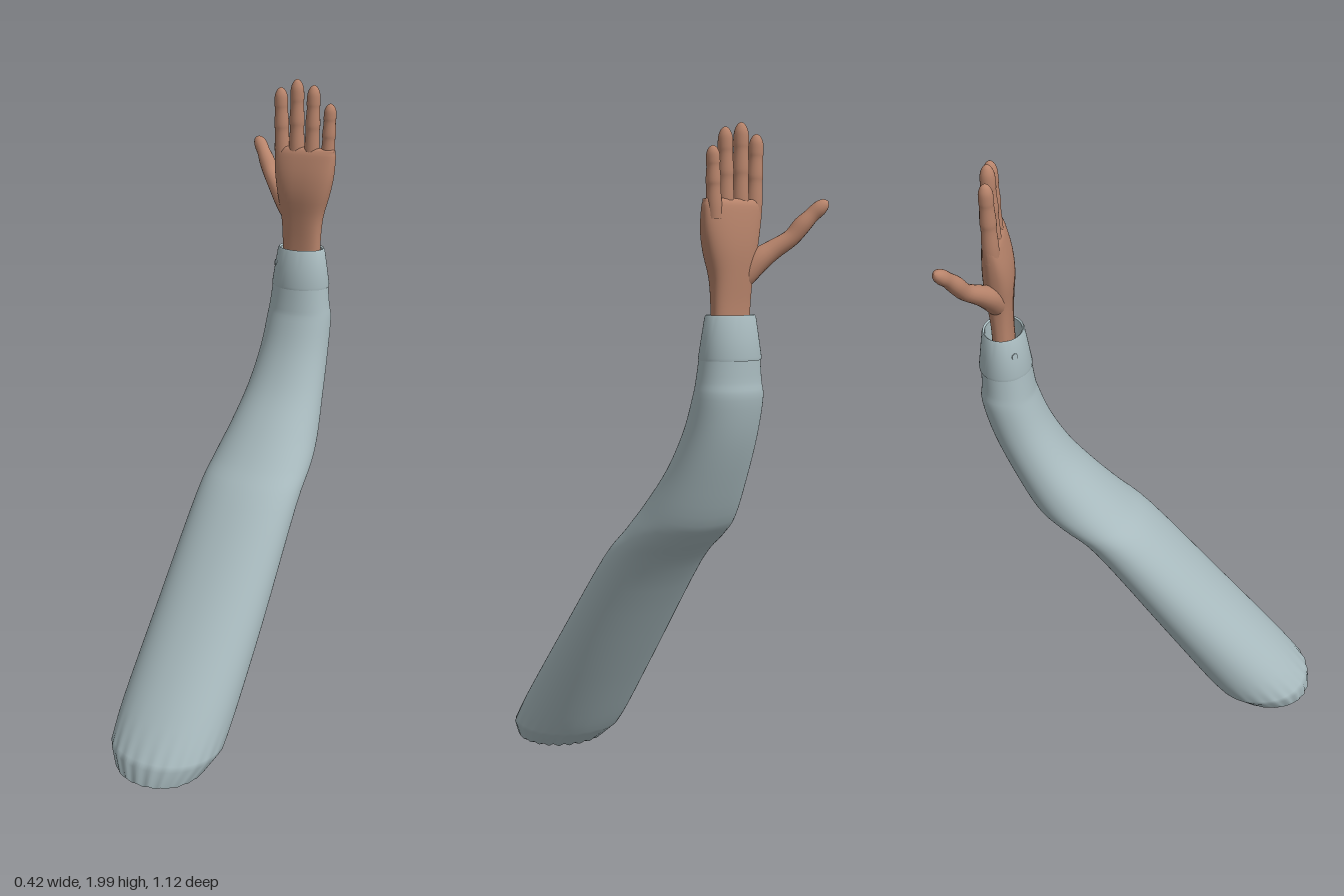
import * as THREE from 'three';
import { toCreasedNormals } from 'three/addons/utils/BufferGeometryUtils.js';

const V = (x, y, z) => new THREE.Vector3(x, y, z);
const skin = new THREE.MeshStandardMaterial({ name: 'skin', color: 0xb8846b });
const cloth = new THREE.MeshStandardMaterial({ name: 'cloth', color: 0xa9bbbf });

// Catmull-Rom interpolation of rows of numbers
function refine(rows, k) {
  const out = [];
  const at = i => rows[Math.max(0, Math.min(rows.length - 1, i))];
  for (let i = 0; i < rows.length - 1; i++) {
    for (let s = 0; s < k; s++) {
      const t = s / k;
      out.push(rows[i].map((b, c) => {
        const a = at(i - 1)[c], d = at(i + 1)[c], e = at(i + 2)[c];
        return b + 0.5 * t * (d - a + t * (2 * a - 5 * b + 4 * d - e + t * (3 * (b - d) + e - a)));
      }));
    }
  }
  out.push(rows[rows.length - 1]);
  return out;
}

// Skin over closed rings that run counter-clockwise about the direction of travel
function loft(rings, crease) {
  const n = rings[0].length, pos = [], idx = [];
  rings.forEach(r => r.forEach(p => pos.push(p.x, p.y, p.z)));
  for (let i = 0; i < rings.length - 1; i++) {
    for (let j = 0; j < n; j++) {
      const a = i * n + j, b = i * n + (j + 1) % n;
      idx.push(a, b, b + n, a, b + n, a + n);
    }
  }
  const g = new THREE.BufferGeometry();
  g.setAttribute('position', new THREE.Float32BufferAttribute(pos, 3));
  g.setIndex(idx);
  g.computeVertexNormals();
  return crease ? toCreasedNormals(g, crease) : g;
}

// Oval ring from its front point, back point, x centre and half width.
// power < 1 makes it boxier, flute adds gathers.
function oval([zf, yf, zb, yb, xc, hw], n = 48, power = 1, flute = 0) {
  const ring = [];
  for (let j = 0; j < n; j++) {
    const a = j / n * Math.PI * 2;
    const f = 1 + flute * Math.cos(a * 24);
    const c = Math.sign(Math.cos(a)) * Math.abs(Math.cos(a)) ** power * f;
    const s = -Math.sign(Math.sin(a)) * Math.abs(Math.sin(a)) ** power * f;
    ring.push(V(xc + c * hw, (yf + yb) / 2 + s * (yf - yb) / 2 + (f - 1) * 0.2,
      (zf + zb) / 2 + s * (zf - zb) / 2));
  }
  return ring;
}

// Round limb through rows of x, y, z, radius, with closed ends
function limb(rows, k = 4, n = 18) {
  const r = refine(rows, k);
  const p = r.map(q => V(q[0], q[1], q[2]));
  const rings = p.map((c, i) => {
    const d = p[Math.min(i + 1, p.length - 1)].clone().sub(p[Math.max(i - 1, 0)]).normalize();
    const e1 = V(0, 0, 1).addScaledVector(d, -d.z).normalize();
    const e2 = d.clone().cross(e1);
    return Array.from({ length: n }, (_, j) => {
      const a = j / n * Math.PI * 2, rad = Math.max(r[i][3], 0);
      return c.clone().addScaledVector(e1, Math.cos(a) * rad).addScaledVector(e2, Math.sin(a) * rad);
    });
  });
  return loft(rings);
}

export function createModel() {
  const model = new THREE.Group();
  model.name = 'arm';
  const add = (name, geometry, material, parent = model) => {
    const m = new THREE.Mesh(geometry, material);
    m.name = name;
    parent.add(m);
    return m;
  };

  // Sleeve: front z, front y, back z, back y, x centre, half width
  const hem = [0.555, 0.045, 0.275, 0.05, 0.03, 0.14];
  const sections = [
    [0.55, 0.10, 0.215, 0.10, 0.029, 0.172],
    [0.47, 0.21, 0.165, 0.17, 0.028, 0.178],
    [0.25, 0.48, 0.02, 0.39, 0.03, 0.176],
    [0.03, 0.75, -0.20, 0.72, 0.03, 0.168],
    [-0.07, 0.85, -0.31, 0.825, 0.03, 0.161],
    [-0.16, 0.95, -0.365, 0.88, 0.03, 0.147],
    [-0.24, 1.05, -0.427, 1.01, 0.03, 0.127],
    [-0.30, 1.16, -0.477, 1.14, 0.03, 0.113],
    [-0.335, 1.26, -0.503, 1.25, 0.03, 0.106],
    [-0.343, 1.30, -0.499, 1.30, 0.03, 0.099],
    [-0.35, 1.365, -0.497, 1.365, 0.03, 0.091],
  ];
  const N = 144;
  const body = refine(sections, 4).map((s, i) => oval(s, N, 0.95, Math.max(0, 0.008 - i * 0.002)));
  add('sleeve', loft([oval(hem, N, 0.95, 0.022), ...body]), cloth);

  // Gathered underside closing the sleeve
  add('sleeveEnd', loft([
    oval([0.44, 0.008, 0.44, 0.008, 0.03, 0], N),
    oval([0.50, 0.025, 0.355, 0.03, 0.03, 0.072], N, 1, 0.022),
    oval(hem, N, 0.95, 0.022),
  ]), cloth);

  // Cuff with a turned-in lip
  const level = (y, hw, hz) => oval([-0.425 + hz, y, -0.425 - hz, y, 0.03, hw]);
  add('cuff', loft([
    level(1.358, 0.085, 0.068), level(1.358, 0.094, 0.077), level(1.366, 0.095, 0.078),
    level(1.42, 0.087, 0.07), level(1.475, 0.078, 0.062), level(1.482, 0.074, 0.059),
    level(1.478, 0.069, 0.054), level(1.41, 0.069, 0.054), level(1.41, 0, 0),
  ], 0.7), cloth);
  const button = add('cuffButton', new THREE.CylinderGeometry(0.01, 0.01, 0.008, 16), cloth);
  button.position.set(-0.04, 1.43, -0.388);
  button.quaternion.setFromUnitVectors(V(0, 1, 0), V(-0.75, 0.14, 0.65).normalize());

  // Hand
  const hand = new THREE.Group();
  hand.name = 'hand';
  model.add(hand);
  const palm = refine([
    [-0.393, 1.41, -0.457, 1.41, 0.03, 0.064],
    [-0.393, 1.50, -0.457, 1.50, 0.03, 0.064],
    [-0.388, 1.58, -0.463, 1.58, 0.03, 0.070],
    [-0.381, 1.65, -0.468, 1.65, 0.033, 0.087],
    [-0.385, 1.71, -0.467, 1.71, 0.034, 0.099],
    [-0.398, 1.765, -0.462, 1.765, 0.033, 0.104],
    [-0.406, 1.785, -0.457, 1.785, 0.033, 0.102],
    [-0.415, 1.794, -0.448, 1.794, 0.033, 0.094],
    [-0.43, 1.796, -0.43, 1.796, 0.033, 0],
  ], 3).map(s => oval(s, 48, 0.8));
  add('palm', loft(palm), skin, hand);

  // Fingers: name, base x, tip x, tip y, z, radius
  [
    ['indexFinger', -0.046, -0.056, 1.972, -0.43, 0.024],
    ['middleFinger', 0.004, 0.001, 2.0, -0.43, 0.0245],
    ['ringFinger', 0.056, 0.059, 1.985, -0.43, 0.024],
    ['littleFinger', 0.106, 0.112, 1.932, -0.44, 0.022],
  ].forEach(([name, x0, x1, tip, z, r]) => {
    const profile = [[0, 0.95], [0.2, 1], [0.42, 0.9], [0.52, 0.96], [0.7, 0.84],
      [0.78, 0.88], [0.89, 0.82], [0.96, 0.55], [0.99, 0.25], [1, 0]];
    add(name, limb(profile.map(([t, k]) =>
      [x0 + (x1 - x0) * t, 1.74 + (tip - 1.74) * t, z, r * k])), skin, hand);
  });

  // Thumb with its fleshy root
  add('thumb', limb([
    [0.015, 1.54, -0.425, 0.012], [-0.01, 1.58, -0.43, 0.03],
    [-0.045, 1.625, -0.445, 0.034], [-0.085, 1.658, -0.468, 0.028],
    [-0.125, 1.69, -0.497, 0.024], [-0.15, 1.725, -0.515, 0.025],
    [-0.172, 1.752, -0.53, 0.021], [-0.19, 1.772, -0.543, 0.021],
    [-0.204, 1.786, -0.552, 0.014], [-0.21, 1.792, -0.557, 0],
  ]), skin, hand);

  return model;
}
